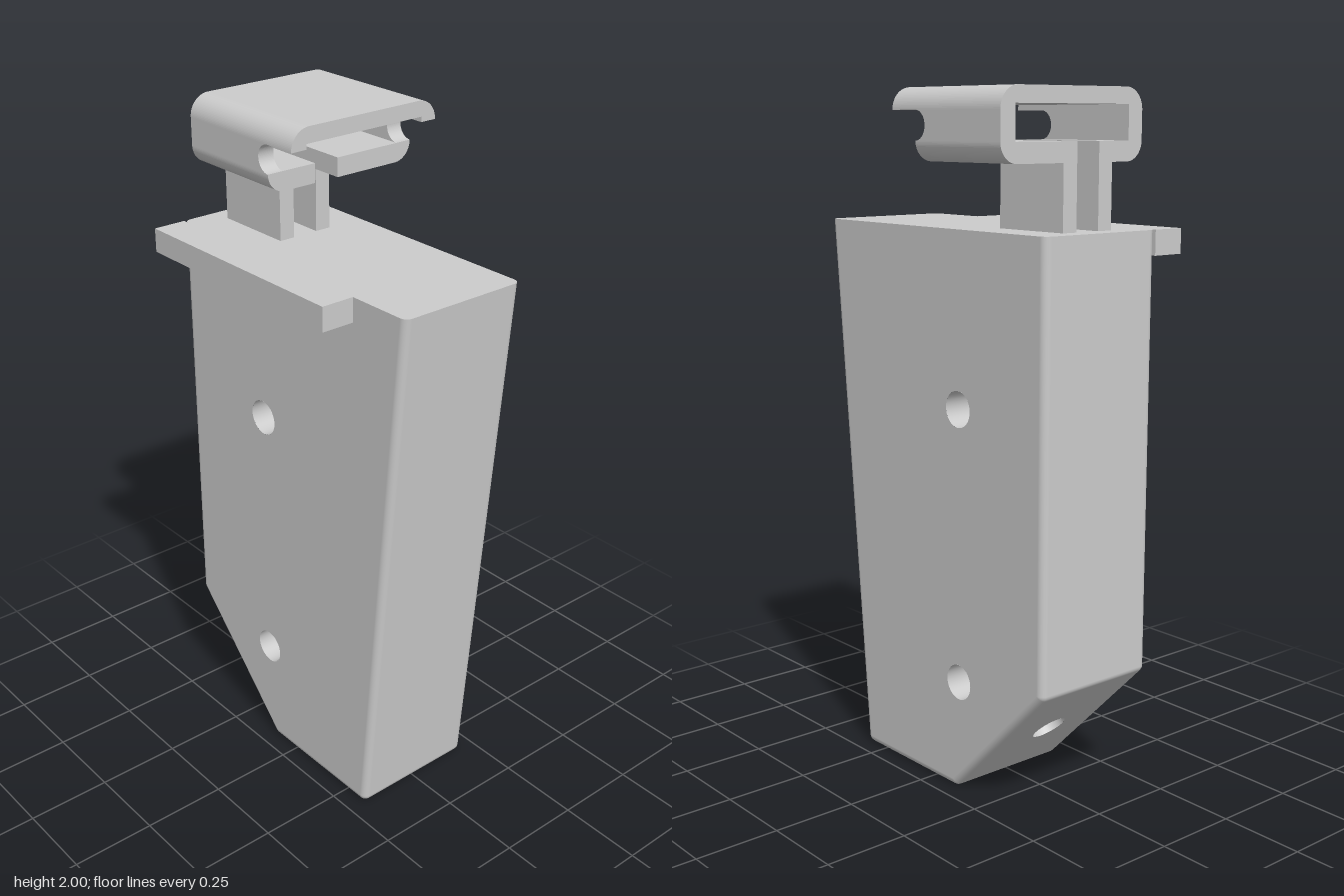
import * as THREE from 'three';

const W = 0.2, R = 0.022, TOP = 1.625, HOLE = 0.052;
const V = (x, y) => new THREE.Vector2(x, y);
const grey = new THREE.MeshStandardMaterial({ color: 0xcccccc });
const thin = new THREE.MeshStandardMaterial({ color: 0xcccccc, side: THREE.DoubleSide });

function add(parent, name, geometry, material = grey) {
  const mesh = new THREE.Mesh(geometry, material);
  mesh.name = name;
  parent.add(mesh);
  return mesh;
}

function block(parent, name, x0, x1, y0, y1, z0, z1) {
  const g = new THREE.BoxGeometry(x1 - x0, y1 - y0, z1 - z0);
  g.translate((x0 + x1) / 2, (y0 + y1) / 2, (z0 + z1) / 2);
  return add(parent, name, g);
}

function circle(x, y, r) {
  return new THREE.Path().absarc(x, y, r, 0, Math.PI * 2, true);
}

// Extrude a shape drawn in x, y from z0 to z1
function slab(parent, name, shape, z0, z1) {
  const g = new THREE.ExtrudeGeometry(shape, { depth: z1 - z0, bevelEnabled: false, curveSegments: 12 });
  g.translate(0, 0, z0);
  return add(parent, name, g);
}

function createBody() {
  const body = new THREE.Group();
  body.name = 'body';

  // Side outline as (z, y), from the front top round the bottom to the back top
  const P = [V(0.475, TOP), V(0.335, 0), V(-0.1, 0), V(-0.475, 0.38), V(-0.475, TOP)];
  const normals = P.slice(1).map((p, i) => V(P[i].y - p.y, p.x - P[i].x).normalize());
  const inset = P.map((p, i) => {
    const a = normals[Math.max(i - 1, 0)], b = normals[Math.min(i, 3)];
    return p.clone().addScaledVector(a.clone().add(b), -R / (1 + a.dot(b)));
  });
  inset[0].y = inset[4].y = TOP;

  // Path of inset points and normals, turning smoothly at each lower corner
  const path = [{ c: inset[0], n: normals[0], edge: 0 }];
  for (let i = 1; i < 4; i++) {
    for (let k = 0; k <= 4; k++) {
      const a0 = normals[i - 1].angle(), a1 = normals[i].angle();
      const a = a0 + (a1 - a0) * k / 4;
      path.push({ c: inset[i], n: V(Math.cos(a), Math.sin(a)), edge: k === 4 ? i : -1 });
    }
  }
  path.push({ c: inset[4], n: normals[3], edge: -1 });

  // Rounded wrap; the two drilled flats are left open
  const pos = [], nor = [], idx = [], steps = 5, cols = steps * 2 + 2;
  path.forEach(({ c, n, edge }, i) => {
    const end = i === 0 || i === path.length - 1;
    for (let j = 0; j < cols; j++) {
      const right = j > steps;
      const phi = (right ? j - steps - 1 : j - steps) / steps * Math.PI / 2;
      const k = Math.cos(phi), s = Math.sin(phi);
      pos.push((right ? 1 : -1) * (W - R) + R * s, end ? TOP : c.y + n.y * R * k, c.x + n.x * R * k);
      nor.push(s, n.y * k, n.x * k);
      const drilled = j === steps && (edge === 1 || edge === 2);
      if (i < path.length - 1 && j < cols - 1 && !drilled) {
        const a = i * cols + j, b = a + cols;
        idx.push(a, b, b + 1, a, b + 1, a + 1);
      }
    }
  });
  const wrap = new THREE.BufferGeometry();
  wrap.setAttribute('position', new THREE.Float32BufferAttribute(pos, 3));
  wrap.setAttribute('normal', new THREE.Float32BufferAttribute(nor, 3));
  wrap.setIndex(idx);
  add(body, 'bodyWrap', wrap);

  // Flat sides with two cross holes
  const crossHoles = [V(-0.12, 1.13), V(-0.12, 0.33)];
  for (const s of [1, -1]) {
    const shape = new THREE.Shape(inset.map(p => V(-s * p.x, p.y)));
    crossHoles.forEach(h => shape.holes.push(circle(-s * h.x, h.y, HOLE)));
    const side = add(body, 'bodySide', new THREE.ShapeGeometry(shape, 32));
    side.rotation.y = s * Math.PI / 2;
    side.position.x = s * W;
  }
  for (const h of crossHoles) {
    const tube = add(body, 'crossHole', new THREE.CylinderGeometry(HOLE, HOLE, 2 * W, 32, 1, true), thin);
    tube.rotation.z = Math.PI / 2;
    tube.position.set(0, h.y, h.x);
  }

  // Bottom and sloped flats, each with a blind hole
  [[1, 0.3, 'bottomFlat'], [2, 0.145, 'slopedFlat']].forEach(([e, depth, name]) => {
    const n = normals[e], a = inset[e], b = inset[e + 1];
    const w = W - R, l = a.distanceTo(b) / 2;
    const shape = new THREE.Shape([V(-w, -l), V(w, -l), V(w, l), V(-w, l)]);
    shape.holes.push(circle(0, 0, HOLE));
    const flat = new THREE.Group();
    flat.name = name;
    add(flat, name + 'Face', new THREE.ShapeGeometry(shape, 32));
    const tube = new THREE.CylinderGeometry(HOLE, HOLE, depth, 32, 1, true);
    tube.rotateX(Math.PI / 2).translate(0, 0, -depth / 2);
    add(flat, name + 'Hole', tube, thin);
    add(flat, name + 'HoleEnd', new THREE.CircleGeometry(HOLE, 32).translate(0, 0, -depth));
    const basis = new THREE.Matrix4().makeBasis(
      new THREE.Vector3(1, 0, 0), new THREE.Vector3(0, n.x, -n.y), new THREE.Vector3(0, n.y, n.x));
    flat.quaternion.setFromRotationMatrix(basis);
    flat.position.set(0, (a.y + b.y) / 2 + n.y * R, (a.x + b.x) / 2 + n.x * R);
    body.add(flat);
  });

  // Top face with rounded corners
  const top = new THREE.Shape(), zc = 0.475 - R, xc = W - R, q = Math.PI / 2;
  top.absarc(xc, zc, R, 0, q).absarc(-xc, zc, R, q, 2 * q);
  top.absarc(-xc, -zc, R, 2 * q, 3 * q).absarc(xc, -zc, R, 3 * q, 4 * q);
  const topFace = add(body, 'bodyTop', new THREE.ShapeGeometry(top, 6));
  topFace.rotation.x = -Math.PI / 2;
  topFace.position.y = TOP;
  return body;
}

function createClip() {
  const clip = new THREE.Group();
  clip.name = 'clip';
  const back = -0.415, lip = -0.07, y0 = 1.86, y1 = 1.94, t = 0.05, q = Math.PI / 2;

  // Overhanging top with rounded shoulders
  const roof = new THREE.Shape();
  roof.moveTo(0.25, 1.955).lineTo(0.25, y1).lineTo(0.3, y1);
  roof.absarc(0.24, y1, 0.06, 0, q).absarc(-0.14, y1, 0.06, q, 2 * q);
  roof.lineTo(-0.15, y1).lineTo(-0.15, 1.955);
  slab(clip, 'clipTop', roof, back, 0.03);

  // Lower flanges either side of the slot, each on a stem
  const r = 0.055;
  for (const [s, outer, inner] of [[1, 0.3, 0.037], [-1, -0.2, -0.042]]) {
    const flange = new THREE.Shape();
    flange.moveTo(inner, y0).lineTo(inner, y0 - r).lineTo(outer - s * r, y0 - r);
    flange.absarc(outer - s * r, y0, r, -q, s > 0 ? 0 : -2 * q, s < 0);
    flange.lineTo(inner, y0);
    slab(clip, 'clipFlange', flange, back, lip);
    const edge = inner + s * 0.048;
    block(clip, 'stem', Math.min(inner, edge), Math.max(inner, edge), TOP, y0 - r, back, -0.165);

    // Side wall with a round notch at the front
    const wall = new THREE.Shape();
    wall.moveTo(-back, y0).lineTo(-back, y1).lineTo(-lip, y1);
    wall.absarc(-lip, (y0 + y1) / 2, 0.04, q, -q, true);
    const g = new THREE.ExtrudeGeometry(wall, { depth: t, bevelEnabled: false, curveSegments: 20 });
    g.rotateY(q).translate(s > 0 ? outer - t : outer, 0, 0);
    add(clip, 'clipWall', g);
  }
  return clip;
}

export function createModel() {
  const model = new THREE.Group();
  model.name = 'clipMount';
  model.add(createBody(), createClip());
  block(model, 'sideRail', -0.3, -W, 1.555, TOP, -0.475, 0.275);
  return model;
}
